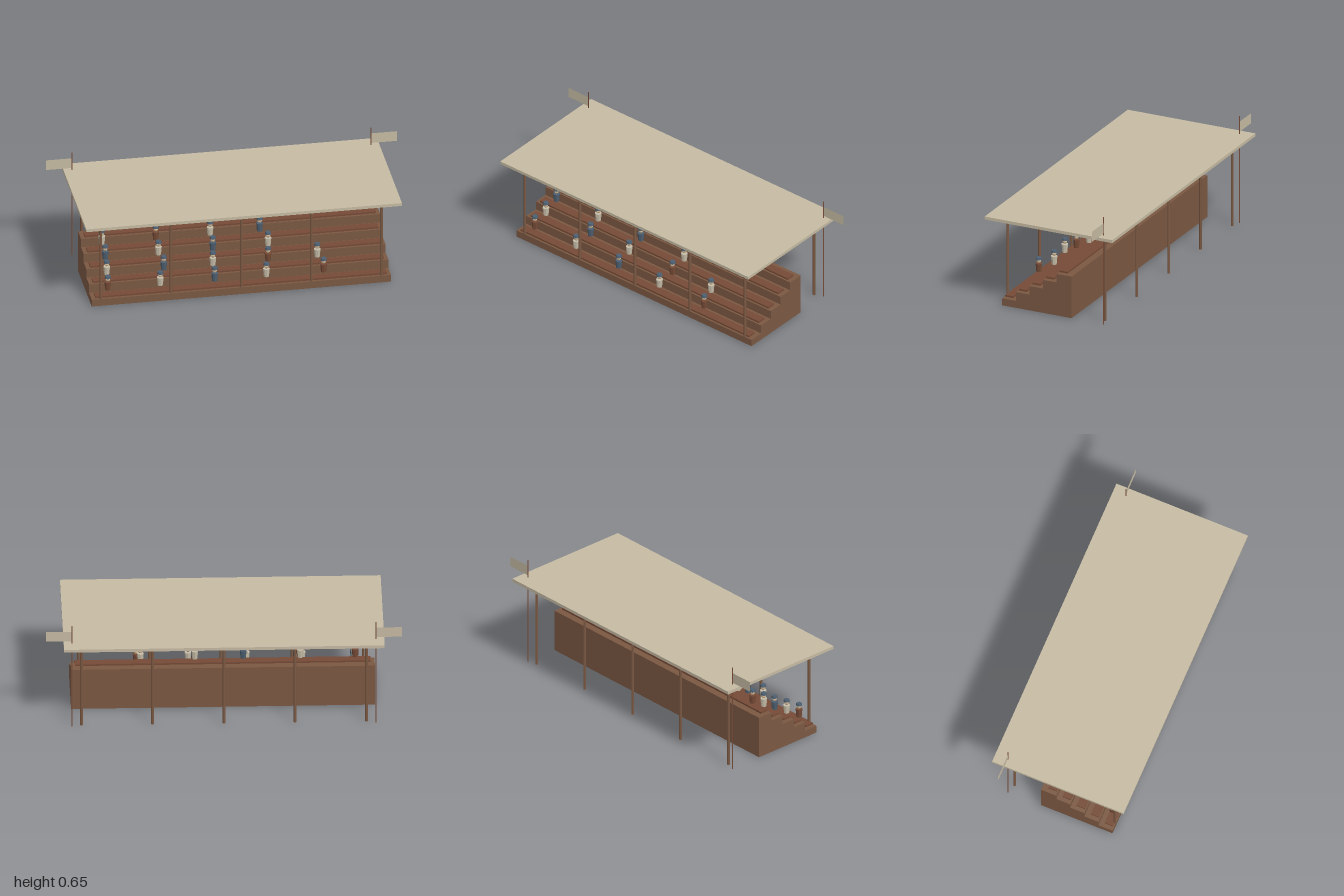
import * as THREE from 'three';

const mat = (name, color) => {
  const m = new THREE.MeshStandardMaterial({ color, flatShading: true });
  m.name = name;
  return m;
};

export function createModel() {
  const group = new THREE.Group();
  group.name = 'grandstand';
  const wood = mat('brown timber', 0x7a5842);
  const redWood = mat('reddish timber', 0x754a36);
  const canvas = mat('beige canvas', 0xc5baa2);
  const cream = mat('cream coat', 0xc6bda8);
  const blue = mat('slate blue cloth', 0x4d5f70);
  const skin = mat('skin', 0xcdb491);
  const flagCloth = mat('flag cloth', 0xc5baa2);
  flagCloth.side = THREE.DoubleSide;

  const add = (name, geometry, material, x, y, z, parent = group) => {
    const mesh = new THREE.Mesh(geometry, material);
    mesh.name = name;
    mesh.position.set(x, y, z);
    parent.add(mesh);
    return mesh;
  };

  // Stepped stand: side profile extruded along x
  const fronts = [0.313, 0.228, 0.142, 0.056, -0.029];
  const tops = [0.042, 0.095, 0.147, 0.199, 0.251];
  const back = -0.122, halfWidth = 0.853;
  const profile = new THREE.Shape();
  profile.moveTo(-back, 0);
  profile.lineTo(-fronts[0], 0);
  fronts.forEach((z, i) => {
    profile.lineTo(-z, tops[i]);
    profile.lineTo(-(fronts[i + 1] ?? back), tops[i]);
  });
  const steps = new THREE.ExtrudeGeometry(profile, { depth: halfWidth * 2, bevelEnabled: false });
  steps.rotateY(Math.PI / 2);
  add('steppedStand', steps, wood, -halfWidth, 0, 0);

  // One bench plank floating just above each step
  const plank = new THREE.BoxGeometry(1.66, 0.01, 0.05);
  for (let i = 0; i < 5; i++) add('bench', plank, redWood, 0, 0.051 + i * 0.0523, 0.281 - i * 0.0855);

  // Roof and its two rows of posts
  add('roof', new THREE.BoxGeometry(1.8, 0.018, 0.8), canvas, 0, 0.529, 0);
  const post = new THREE.CylinderGeometry(0.008, 0.008, 0.522, 8);
  for (const x of [-0.8, -0.4, 0, 0.4, 0.8])
    for (const z of [0.305, -0.305]) add('post', post, wood, x, 0.261, z);

  // Flags at the rear corners
  const pole = new THREE.CylinderGeometry(0.003, 0.003, 0.646, 6);
  const flag = new THREE.PlaneGeometry(0.147, 0.061);
  for (const s of [-1, 1]) {
    add('flagPole', pole, redWood, s * 0.853, 0.323, -0.323);
    add('flag', flag, flagCloth, s * 0.9265, 0.58, -0.323);
  }

  // Spectators: [x, coat] for each row, from the front upwards
  const body = new THREE.CylinderGeometry(0.0195, 0.015, 0.049, 8);
  const head = new THREE.SphereGeometry(0.0135, 8, 6);
  const cap = new THREE.CylinderGeometry(0.0155, 0.0185, 0.013, 8);
  const rows = [
    [[-0.754, redWood], [-0.455, cream], [-0.145, blue], [0.15, cream], [0.476, redWood]],
    [[-0.745, cream], [-0.42, blue], [-0.14, cream], [0.175, redWood], [0.455, cream]],
    [[-0.738, blue], [-0.435, cream], [-0.125, blue], [0.19, cream]],
    [[-0.742, cream], [-0.435, redWood], [-0.125, cream], [0.157, blue]],
    [[-0.743, redWood], [-0.435, cream], [-0.115, blue], [0.157, cream]],
  ];
  rows.forEach((row, i) => row.forEach(([x, coat]) => {
    const person = new THREE.Group();
    person.name = 'spectator';
    person.position.set(x, 0.078 + i * 0.052, 0.271 - i * 0.0855);
    add('body', body, coat, 0, 0.0245, 0, person);
    add('head', head, skin, 0, 0.064, 0, person);
    add('cap', cap, blue, 0, 0.079, 0, person);
    group.add(person);
  }));

  return group;
}
